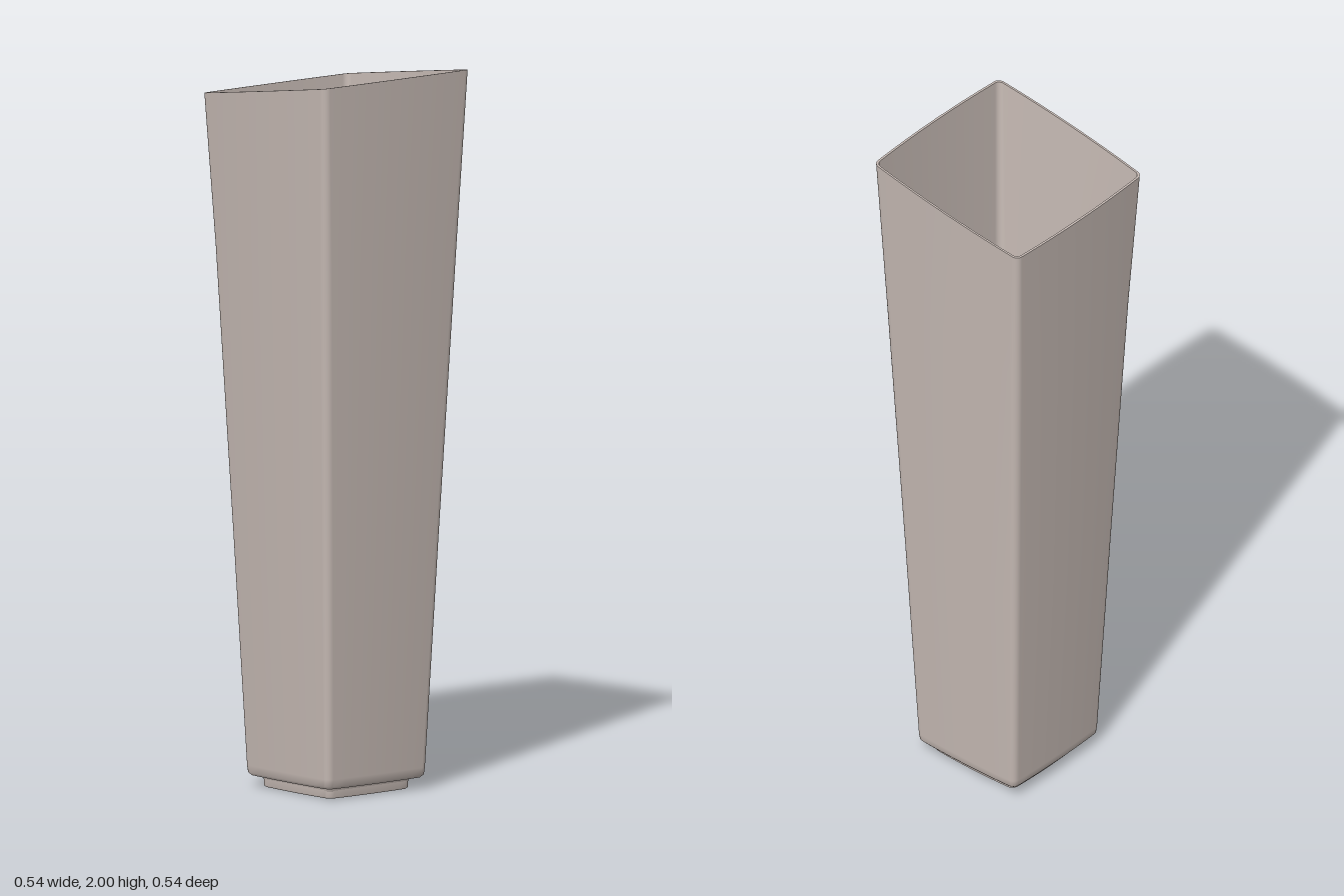
import * as THREE from 'three';

const SLANT = 0.145; // rise of the rim per unit of x

// Rounded square with softly bowed sides, as [x, z] points in order
function ring(half, radius, bow) {
  const pts = [], c = half - bow - radius;
  for (let k = 0; k < 4; k++) {
    const a = k * Math.PI / 2;
    const put = (n, t) => pts.push([
      n * Math.cos(a) - t * Math.sin(a),
      n * Math.sin(a) + t * Math.cos(a)]);
    for (let i = 0; i < 8; i++) {
      const u = -1 + i / 4;
      put(half - bow * u * u, c * u);
    }
    for (let i = 0; i < 6; i++) {
      const s = i / 6 * Math.PI / 2;
      put(c + radius * Math.cos(s), c + radius * Math.sin(s));
    }
  }
  return pts;
}

// Smooth skin through rows of [half width, y, corner radius, bow, slanted]
function loft(name, rows, material) {
  const pos = [], index = [];
  let n = 0;
  for (const [half, y, radius, bow, slanted] of rows) {
    const pts = ring(half, radius, bow);
    n = pts.length;
    for (const [x, z] of pts) pos.push(x, y + (slanted ? SLANT * x : 0), z);
  }
  for (let i = 0; i < rows.length - 1; i++) {
    for (let j = 0; j < n; j++) {
      const a = i * n + j, b = i * n + (j + 1) % n;
      index.push(a, a + n, b, b, a + n, b + n);
    }
  }
  const geo = new THREE.BufferGeometry();
  geo.setAttribute('position', new THREE.Float32BufferAttribute(pos, 3));
  geo.setIndex(index);
  geo.computeVertexNormals();
  const mesh = new THREE.Mesh(geo, material);
  mesh.name = name;
  return mesh;
}

export function createModel() {
  const group = new THREE.Group();
  group.name = 'taperedSleeve';
  const clay = new THREE.MeshStandardMaterial({ color: 0xc6bab4, side: THREE.DoubleSide });
  clay.name = 'warm grey';

  // Closed profile: foot, shoulder, outer wall, rim, inner wall, floor, foot bore
  const parts = {
    footUnderside: [[0.131, 0, 0.022, 0.004], [0.146, 0, 0.02, 0.004]],
    footSide: [[0.146, 0, 0.02, 0.004], [0.15, 0.004, 0.02, 0.004], [0.15, 0.028, 0.02, 0.004]],
    shoulder: [[0.15, 0.028, 0.02, 0.004], [0.174, 0.032, 0.02, 0.004]],
    outerWall: [
      [0.174, 0.032, 0.02, 0.004], [0.181, 0.04, 0.02, 0.004], [0.183, 0.06, 0.02, 0.004],
      [0.211, 0.7, 0.022, 0.005], [0.247, 1.5, 0.024, 0.006], [0.269, 1.961, 0.02, 0.007, true]],
    rim: [[0.269, 1.961, 0.02, 0.007, true], [0.263, 1.961, 0.017, 0.007, true]],
    innerWall: [
      [0.263, 1.961, 0.017, 0.007, true], [0.241, 1.5, 0.02, 0.006],
      [0.205, 0.7, 0.018, 0.005], [0.177, 0.045, 0.016, 0.004]],
    innerLedge: [[0.177, 0.045, 0.016, 0.004], [0.155, 0.042, 0.016, 0.004]],
    innerStep: [[0.155, 0.042, 0.016, 0.004], [0.146, 0.008, 0.016, 0.004]],
    innerLip: [[0.146, 0.008, 0.016, 0.004], [0.131, 0.006, 0.022, 0.004]],
    footBore: [[0.131, 0.006, 0.022, 0.004], [0.131, 0, 0.022, 0.004]],
  };
  for (const [name, rows] of Object.entries(parts)) group.add(loft(name, rows, clay));
  return group;
}
